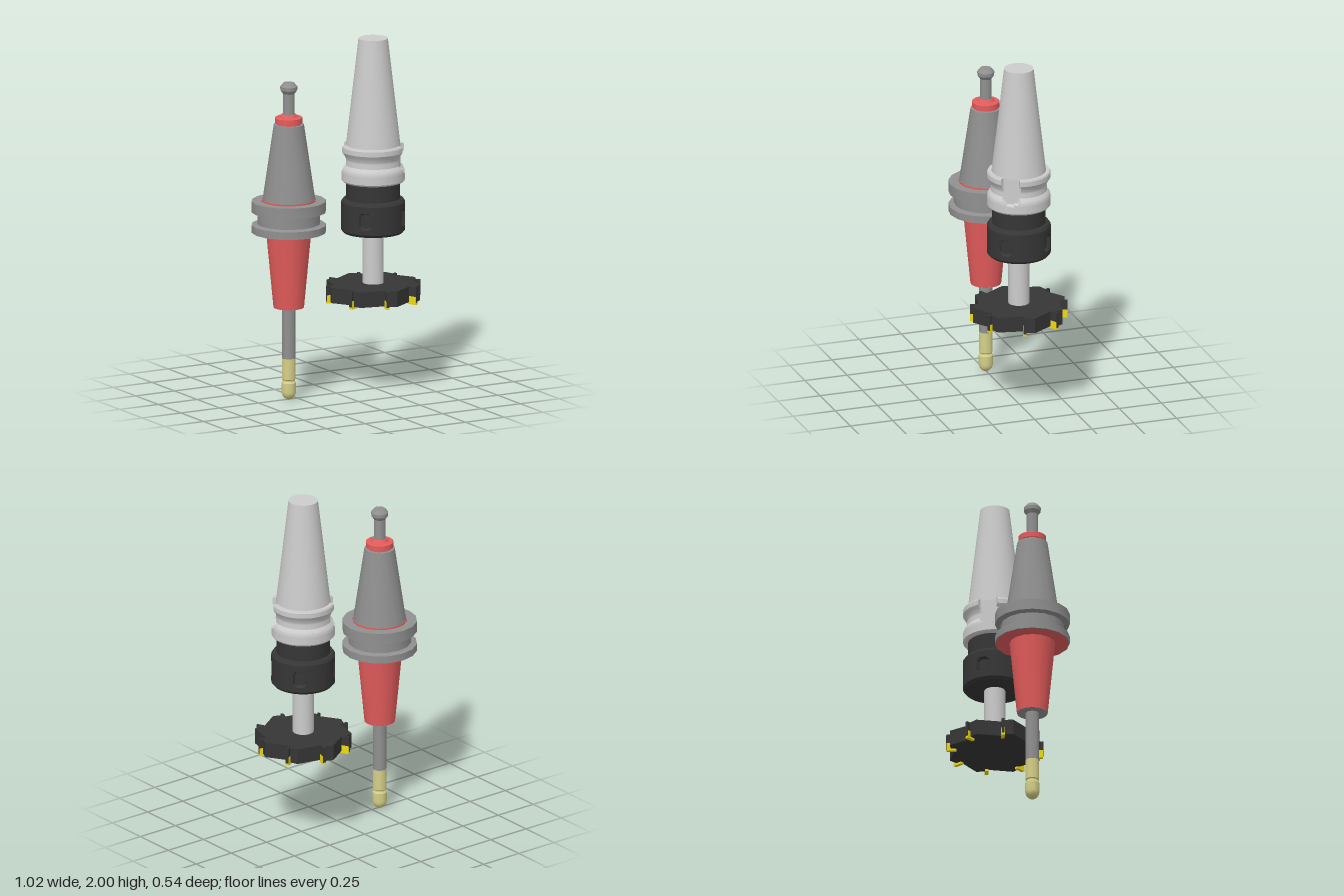
import * as THREE from 'three';
import { toCreasedNormals } from 'three/addons/utils/BufferGeometryUtils.js';

const mat = (color) => new THREE.MeshStandardMaterial({ color, side: THREE.DoubleSide });

function addMesh(parent, name, geometry, material) {
  const mesh = new THREE.Mesh(geometry, material);
  mesh.name = name;
  parent.add(mesh);
  return mesh;
}

// Turned part; profile is [radius, y] from bottom to top
function turned(profile, segments) {
  return new THREE.LatheGeometry(profile.map(([r, y]) => new THREE.Vector2(r, y)), segments);
}

// Insert extra profile points so that pockets can be pressed into the wall
function densify(profile, step) {
  const out = [profile[0]];
  for (let i = 1; i < profile.length; i++) {
    const [r0, y0] = profile[i - 1], [r1, y1] = profile[i];
    const n = Math.max(1, Math.ceil(Math.hypot(r1 - r0, y1 - y0) / step));
    for (let k = 1; k <= n; k++) out.push([r0 + (r1 - r0) * k / n, y0 + (y1 - y0) * k / n]);
  }
  return out;
}

// Press a flat-floored pocket into a turned part; angle is measured from +z towards +x
function pressPocket(geometry, angle, depth, inside) {
  const p = geometry.attributes.position;
  const s = Math.sin(angle), c = Math.cos(angle);
  for (let i = 0; i < p.count; i++) {
    const x = p.getX(i), z = p.getZ(i);
    const radial = x * s + z * c, t = x * c - z * s;
    if (radial > depth && inside(t, p.getY(i))) {
      p.setX(i, depth * s + t * c);
      p.setZ(i, depth * c - t * s);
    }
  }
}

const creased = (g, angle = 0.5) => toCreasedNormals(g, angle);

function createBallTool() {
  const tool = new THREE.Group();
  tool.name = 'ballNoseTool';
  const steel = mat(0x909090), red = mat(0xe45c5c), yellow = mat(0xd6d088);
  const part = (name, profile, material, segments = 16) =>
    addMesh(tool, name, creased(turned(profile, segments)), material);

  // Ball tip, with a small groove above it
  const tip = [];
  for (let i = 0; i <= 6; i++) {
    const a = i / 6 * Math.PI / 2;
    tip.push([0.04 * Math.sin(a), 0.045 - 0.045 * Math.cos(a)]);
  }
  tip.push([0.04, 0.095], [0.034, 0.105], [0.034, 0.112], [0.038, 0.117], [0.038, 0.235], [0, 0.235]);
  part('ballTip', tip, yellow, 24);
  part('cutterShank', [[0.037, 0.235], [0.037, 0.53]], steel, 24);

  // Tapered nose
  part('noseEnd', [[0, 0.525], [0.085, 0.525]], steel);
  part('taperedNose', [[0.086, 0.526], [0.127, 0.954], [0.205, 0.954]], red);

  // Grooved flange
  part('flange', [[0.1, 0.956], [0.209, 0.956], [0.209, 0.998], [0.176, 1.005], [0.176, 1.065],
    [0.209, 1.072], [0.209, 1.134], [0, 1.134]], steel);
  part('flangeRing', [[0.152, 1.134], [0.152, 1.142], [0.14, 1.142]], red);

  // Taper, collar and pull stud
  part('taper', [[0.148, 1.142], [0.085, 1.57], [0, 1.57]], steel);
  part('collar', [[0.068, 1.57], [0.068, 1.576], [0.077, 1.578], [0.077, 1.608], [0.072, 1.612],
    [0.05, 1.612], [0.04, 1.628], [0, 1.628]], red, 24);
  part('pullStud', [[0.033, 1.62], [0.033, 1.745], [0.047, 1.765], [0.048, 1.785], [0.03, 1.807],
    [0, 1.807]], steel, 24);
  return tool;
}

function createFaceMill() {
  const tool = new THREE.Group();
  tool.name = 'faceMillTool';
  const steel = mat(0xcccccc), black = mat(0x363636), yellow = mat(0xf0dc10);

  // Taper
  addMesh(tool, 'taper', creased(turned([[0.152, 1.39], [0.082, 2], [0, 2]], 48)), steel);

  // Rounded flange with two opposite drive slots
  const flange = turned(densify([[0.14, 1.185], [0.168, 1.185], [0.177, 1.195], [0.177, 1.245],
    [0.172, 1.264], [0.157, 1.282], [0.155, 1.315], [0.163, 1.335], [0.177, 1.358], [0.177, 1.385],
    [0.172, 1.394], [0.14, 1.394]], 0.01), 120);
  const slot = (t, y) => Math.abs(t) < 0.05 && y > 1.29 - Math.sqrt(0.0025 - t * t);
  for (const a of [0, Math.PI]) pressPocket(flange, 0.955 + a, 0.148, slot);
  addMesh(tool, 'flange', creased(flange), steel);

  // Collet neck and clamping nut with four wrench pockets
  addMesh(tool, 'colletNeck', creased(turned([[0.15, 1.08], [0.15, 1.186]], 48)), black);
  const nut = turned(densify([[0, 0.895], [0.165, 0.895], [0.178, 0.91], [0.178, 1.07],
    [0.168, 1.085], [0.14, 1.09]], 0.01), 120);
  const pocket = (t, y) => Math.abs(t) < 0.03 && Math.abs(y - 0.985) < 0.045 - Math.max(0, Math.abs(t) - 0.015);
  for (let i = 0; i < 4; i++) pressPocket(nut, Math.PI / 4 + i * Math.PI / 2, 0.158, pocket);
  addMesh(tool, 'clampingNut', creased(nut), black);

  // Arbor
  addMesh(tool, 'arbor', creased(turned([[0.059, 0.6], [0.059, 0.9]], 32)), steel);

  // Cutter body: eight-sided outline with a hooked tooth in each sector
  const tooth = [[0, 0.27], [0.047, 0.248], [0.052, 0.269], [0.068, 0.265], [0.052, 0.221]];
  const outline = [];
  for (let i = 0; i < 8; i++) {
    const c = Math.cos(i * Math.PI / 4), s = Math.sin(i * Math.PI / 4);
    for (const [x, y] of tooth) outline.push(new THREE.Vector2(x * c + y * s, y * c - x * s));
  }
  const body = new THREE.ExtrudeGeometry(new THREE.Shape(outline), { depth: 0.088, bevelEnabled: false });
  body.rotateX(-Math.PI / 2).translate(0, 0.517, 0);
  addMesh(tool, 'cutterBody', body, black);

  // Cutting inserts on the leading face of each tooth
  for (let i = 0; i < 8; i++) {
    const pivot = new THREE.Group();
    pivot.name = 'insertMount';
    pivot.rotation.y = -i * Math.PI / 4;
    const insert = addMesh(pivot, 'cuttingInsert', new THREE.BoxGeometry(0.02, 0.046, 0.055), yellow);
    insert.position.set(0.0505, 0.528, -0.24);
    insert.rotation.y = -0.349;
    tool.add(pivot);
  }
  return tool;
}

export function createModel() {
  const model = new THREE.Group();
  model.name = 'millingToolHolders';
  const ball = createBallTool();
  ball.position.x = -0.305;
  const mill = createFaceMill();
  mill.position.x = 0.239;
  model.add(ball, mill);
  return model;
}
